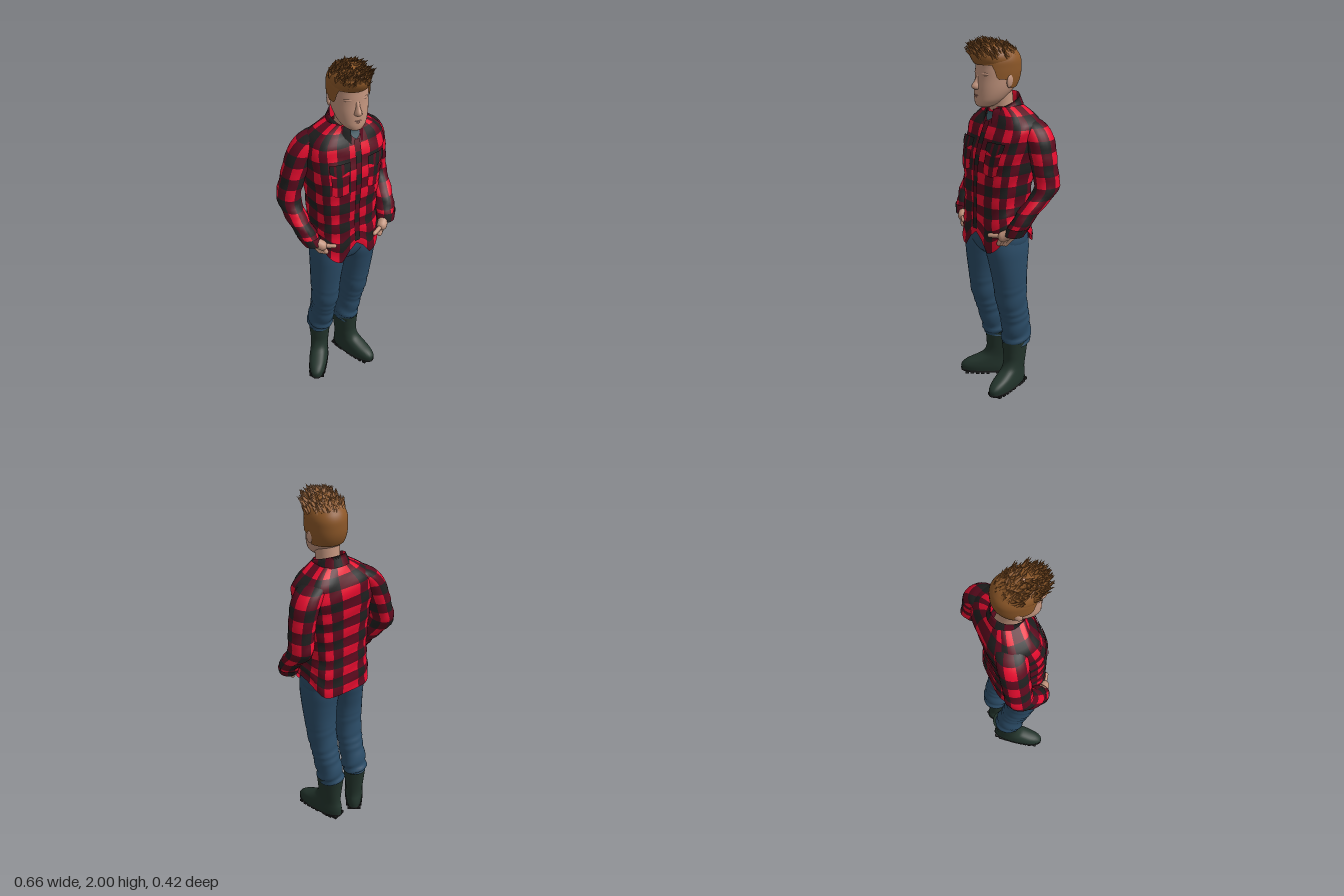
import * as THREE from 'three';
import { mergeGeometries } from 'three/addons/utils/BufferGeometryUtils.js';

const mat = (name, color, side = THREE.FrontSide) =>
  Object.assign(new THREE.MeshStandardMaterial({ color, side }), { name });
const TAU = Math.PI * 2;
const lerp = THREE.MathUtils.lerp;
const smooth = THREE.MathUtils.smoothstep;

// Smooth body through horizontal rings [y, centreX, centreZ, halfWidth, halfDepth], bottom to top.
// Returns a function (angle, y, offset) -> point; angle 0 is the front.
function body(rings, yaw = 0, power = 1) {
  const n = rings.length - 1, c = Math.cos(yaw), s = Math.sin(yaw);
  const slope = (k, i) => {
    const a = rings[Math.max(k - 1, 0)], b = rings[Math.min(k + 1, n)];
    return (b[i] - a[i]) / (b[0] - a[0]);
  };
  const pw = (v) => Math.sign(v) * Math.abs(v) ** power;
  const at = (angle, y, off = 0) => {
    let k = 0;
    while (k < n - 1 && y > rings[k + 1][0]) k++;
    const h = rings[k + 1][0] - rings[k][0];
    const t = THREE.MathUtils.clamp((y - rings[k][0]) / h, 0, 1), t2 = t * t, t3 = t2 * t;
    const [cx, cz, hw, hd] = [1, 2, 3, 4].map((i) =>
      (2 * t3 - 3 * t2 + 1) * rings[k][i] + (t3 - 2 * t2 + t) * h * slope(k, i) +
      (3 * t2 - 2 * t3) * rings[k + 1][i] + (t3 - t2) * h * slope(k + 1, i));
    const x = pw(Math.sin(angle)) * (Math.max(hw, 0.001) + off);
    const z = pw(Math.cos(angle)) * (Math.max(hd, 0.001) + off);
    return new THREE.Vector3(cx + x * c + z * s, y, cz - x * s + z * c);
  };
  at.y0 = rings[0][0];
  at.y1 = rings[n][0];
  return at;
}

// Grid surface from f(u, v); pick(i, j) chooses a material index for each quad
function surface(f, nu, nv, closed = false, pick = null) {
  const pos = [], lists = [[], [], []], w = closed ? nu : nu + 1;
  for (let j = 0; j <= nv; j++) for (let i = 0; i < w; i++) pos.push(...f(i / nu, j / nv).toArray());
  for (let j = 0; j < nv; j++) for (let i = 0; i < nu; i++) {
    const a = j * w + i, b = j * w + (i + 1) % w, d = a + w, e = b + w;
    lists[pick ? pick(i, j) : 0].push(a, b, e, a, e, d);
  }
  const g = new THREE.BufferGeometry();
  g.setAttribute('position', new THREE.Float32BufferAttribute(pos, 3));
  g.setIndex(lists.flat());
  if (pick) lists.reduce((start, l, m) => (g.addGroup(start, l.length, m), start + l.length), 0);
  g.computeVertexNormals();
  return g;
}
const whole = (P, nu, nv) => surface((u, v) => P(u * TAU, lerp(P.y0, P.y1, v)), nu, nv, true);

// Buffalo check: both bands light = red, both dark = black, else dark red
const check = (size, shift = 0) => (i, j) =>
  (Math.floor((i + shift) / size) % 2) + (Math.floor(j / size) % 2);

export function createModel() {
  const D = THREE.DoubleSide;
  const skin = mat('skin', 0xc2947d), lip = mat('lips', 0xac7a6c), hair = mat('hair', 0x8c5728, D);
  const denim = mat('denim', 0x2b4c67, D), boot = mat('boot green', 0x23342c, D);
  const red = mat('bright red', 0xe60c2e, D), wine = mat('dark red', 0x5a0a1d, D);
  const black = mat('black', 0x1f1f1f, D), tee = mat('undershirt', 0x34505a, D);
  const plaid = [red, wine, black];
  const model = new THREE.Group();
  const add = (name, geo, m, parent = model) => {
    const mesh = new THREE.Mesh(geo, m);
    mesh.name = name;
    parent.add(mesh);
    return mesh;
  };
  const blob = (name, m, p, r, parent) => {
    const b = add(name, new THREE.SphereGeometry(1, 20, 14), m, parent);
    b.position.set(...p);
    b.scale.set(...r);
    return b;
  };
  const yaw = 0.225;

  // Shirt body with a curved hem that opens in front
  const torso = body([
    [0.88, 0.015, 0.03, 0.198, 0.15], [1.0, 0.015, 0.03, 0.188, 0.146], [1.12, 0.012, 0.03, 0.18, 0.142],
    [1.25, 0.015, 0.026, 0.19, 0.145], [1.38, 0.022, 0.014, 0.204, 0.15], [1.48, 0.03, -0.005, 0.216, 0.145],
    [1.56, 0.035, -0.015, 0.205, 0.125], [1.61, 0.04, -0.014, 0.145, 0.095], [1.645, 0.04, -0.005, 0.085, 0.08]], yaw, 0.68);
  const hem = (a) => {
    const d = Math.abs(Math.atan2(Math.sin(a), Math.cos(a)));
    if (d < 0.3) return lerp(0.97, 0.87, d / 0.3);
    return d < 1.5 ? lerp(0.87, 0.99, smooth(d, 0.3, 1.5)) : lerp(0.99, 0.89, smooth(d, 1.5, 2.6));
  };
  add('shirtBody', surface((u, v) => {
    const y = lerp(0.88, 1.645, v);
    const p = torso(u * TAU, y, 0.003 * Math.sin(y * 55 + Math.sin(u * TAU * 3) * 2));
    if (y < 1.1) p.y = lerp(hem(u * TAU), 1.1, (y - 0.88) / 0.22);
    return p;
  }, 60, 38, true, check(3, 1)), plaid);

  // Front placket, pockets and pointed flaps lying on the shirt
  const patch = (a0, a1, lo, hi, off) => (u, v) => torso(lerp(a0, a1, u), lerp(lo(u), hi, v), off);
  add('placket', surface(patch(-0.025, 0.025, () => 0.99, 1.57, 0.008), 4, 30, false,
    (i, j) => (j % 6 < 3 ? 2 : 1)), plaid);
  for (const s of [-1, 1]) {
    const a = s * 0.4;
    add('chestPocket', surface(patch(a - 0.25, a + 0.25, (u) => 1.31 - 0.015 * Math.sin(u * Math.PI), 1.46, 0.007),
      9, 9, false, check(3)), plaid);
    add('pocketFlap', surface(patch(a - 0.28, a + 0.28,
      (u) => 1.435 - 0.03 * (1 - Math.abs(u * 2 - 1)), 1.475, 0.011), 8, 4, false,
    (i) => (i === 2 || i === 5 ? 1 : 2)), plaid);
  }
  add('undershirt', surface((u, v) => torso(lerp(-0.12, 0.12, u) * v, lerp(1.57, 1.615, v), 0.009), 6, 6), tee);

  // Collar: stand folding over into a pointed fall
  add('collar', surface((u, v) => {
    const a = lerp(0.3, TAU - 0.3, u), front = Math.cos(a), up = Math.min(v * 2, 1), fall = Math.max(v * 2 - 1, 0);
    const r = 0.078 + 0.022 * fall, point = Math.max(front, 0) ** 3 * 0.035;
    const x = Math.sin(a) * r, z = front * (r + 0.012);
    return new THREE.Vector3(0.04 + x * Math.cos(yaw) + z * Math.sin(yaw),
      1.58 + 0.085 * up - fall * (0.055 + point) - 0.035 * front, 0.008 - x * Math.sin(yaw) + z * Math.cos(yaw));
  }, 36, 6, false, check(3)), plaid);

  // Sleeves with cuffs
  const sleeves = {
    left: [[1.0, 0.262, 0.055, 0.045, 0.045], [1.05, 0.27, 0.03, 0.052, 0.054], [1.12, 0.272, -0.025, 0.055, 0.066],
      [1.23, 0.268, -0.127, 0.06, 0.074], [1.33, 0.258, -0.122, 0.062, 0.075], [1.43, 0.241, -0.114, 0.067, 0.08],
      [1.51, 0.213, -0.102, 0.073, 0.082], [1.57, 0.165, -0.08, 0.066, 0.068], [1.61, 0.11, -0.045, 0.02, 0.02]],
    right: [[1.0, -0.185, 0.135, 0.045, 0.04], [1.05, -0.208, 0.112, 0.053, 0.053], [1.12, -0.24, 0.07, 0.057, 0.063],
      [1.23, -0.268, 0.0, 0.062, 0.073], [1.33, -0.245, -0.01, 0.064, 0.075], [1.43, -0.211, -0.016, 0.069, 0.078],
      [1.51, -0.17, -0.02, 0.074, 0.08], [1.57, -0.11, -0.02, 0.066, 0.07], [1.61, -0.04, -0.01, 0.02, 0.02]],
  };
  for (const side in sleeves) {
    const P = body(sleeves[side], side === 'left' ? 0.3 : 0.1);
    const fold = (u, v) => P(u * TAU, lerp(P.y0, P.y1, v), 0.004 * Math.sin(v * 48 + Math.sin(u * TAU) * 3) * (1 - v));
    add(side + 'Sleeve', surface(fold, 24, 30, true, check(3, side === 'left' ? 0 : 3)), plaid);
    add(side + 'Cuff', surface((u, v) => P(u * TAU, lerp(1.0, 1.045, v), 0.006), 24, 3, true,
      (i) => (i % 6 < 3 ? 1 : 2)), plaid);
  }

  // Hands tucked into the front pockets: wrist, thumb and finger bases
  const limb = (name, a, b, r, parent) => {
    const A = new THREE.Vector3(...a), B = new THREE.Vector3(...b), d = B.clone().sub(A);
    const m = add(name, new THREE.CapsuleGeometry(r, d.length(), 5, 12), skin, parent);
    m.position.copy(A).add(B).multiplyScalar(0.5);
    m.quaternion.setFromUnitVectors(new THREE.Vector3(0, 1, 0), d.normalize());
  };
  const hands = { right: [[-0.19, 1.02, 0.132], [-0.145, 0.995, 0.162], [-0.085, 0.992, 0.187]],
    left: [[0.262, 1.02, 0.05], [0.225, 0.988, 0.1], [0.162, 0.982, 0.148]] };
  for (const side in hands) {
    const [w, p, t] = hands[side], g = new THREE.Group();
    g.name = side + 'Hand';
    model.add(g);
    limb('wrist', w, p, 0.028, g);
    limb('thumb', p, t, 0.012, g);
    for (let i = 0; i < 4; i++) {
      const k = i / 3, x = lerp(p[0], w[0], k * 0.8), z = lerp(p[2], w[2], k * 0.8);
      limb('finger', [x, p[1], z], [lerp(x, t[0], 0.3), p[1] - 0.042, lerp(z, t[2], 0.3)], 0.014, g);
    }
  }

  // Jeans: seat and two creased legs
  add('jeansSeat', whole(body([[0.815, 0.012, 0.03, 0.04, 0.05], [0.84, 0.012, 0.03, 0.12, 0.09],
    [0.9, 0.013, 0.028, 0.18, 0.125], [0.97, 0.014, 0.028, 0.182, 0.136], [1.06, 0.014, 0.03, 0.168, 0.128]],
    yaw, 0.84), 40, 16), denim);
  const legs = {
    right: [[0.26, -0.1, -0.028, 0.062, 0.072], [0.3, -0.1, -0.022, 0.072, 0.08], [0.42, -0.094, 0.01, 0.07, 0.083],
      [0.55, -0.09, 0.045, 0.077, 0.088], [0.7, -0.088, 0.055, 0.085, 0.098], [0.8, -0.08, 0.052, 0.093, 0.114],
      [0.88, -0.073, 0.046, 0.099, 0.126], [1.0, -0.07, 0.044, 0.085, 0.12]],
    left: [[0.26, 0.07, -0.058, 0.062, 0.074], [0.3, 0.072, -0.06, 0.072, 0.084], [0.42, 0.088, -0.045, 0.071, 0.085],
      [0.55, 0.1, -0.015, 0.077, 0.09], [0.7, 0.106, 0.002, 0.086, 0.1], [0.8, 0.105, 0.01, 0.093, 0.114],
      [0.88, 0.1, 0.014, 0.099, 0.126], [1.0, 0.098, 0.015, 0.085, 0.12]],
  };
  for (const side in legs) {
    const P = body(legs[side], side === 'left' ? 0.2 : -0.1, 0.93);
    add(side + 'JeansLeg', surface((u, v) => P(u * TAU, lerp(P.y0, P.y1, v),
      (0.002 + 0.005 * (1 - smooth(v, 0, 0.22))) * (1 - smooth(v, 0.4, 0.6)) *
      Math.sin(v * 75 + Math.sin(u * TAU + 1) * 3.5 + Math.sin(v * 23) * 2)), 28, 64, true), denim);
  }

  // Rubber boots with black treaded soles
  for (const [side, x, z, turn] of [['right', -0.1, -0.03, -0.45], ['left', 0.074, -0.046, 0.47]]) {
    const g = new THREE.Group();
    g.name = side + 'Boot';
    g.position.set(x, 0, z);
    g.rotation.y = turn;
    model.add(g);
    add('bootUpper', whole(body([[0.015, 0, 0.065, 0.05, 0.15], [0.045, 0, 0.065, 0.054, 0.152], [0.072, 0, 0.052, 0.053, 0.136],
      [0.095, 0, 0.03, 0.051, 0.108], [0.12, 0, 0.008, 0.05, 0.084], [0.16, 0, -0.005, 0.053, 0.073],
      [0.21, 0, -0.008, 0.058, 0.075], [0.285, 0, -0.01, 0.066, 0.083]], 0, 0.88), 36, 36), boot, g);
    const P = body([[0, 0, 0.065, 0.053, 0.153], [0.03, 0, 0.065, 0.056, 0.155]], 0, 0.86);
    add('soleEdge', surface((u, v) => P(u * TAU, lerp(0.01, 0.022, v)), 36, 2, true), black, g);
    add('soleBase', surface((u, v) => {
      const p = P(u * TAU, 0.01);
      p.x *= 1 - v;
      p.z = lerp(p.z, 0.065, v);
      return p;
    }, 36, 3, true), black, g);
    const bars = [];
    for (let k = 0; k < 9; k++) {
      if (k === 3) continue;
      const bz = -0.065 + k * 0.031;
      const w = 0.1 * Math.sqrt(Math.max(0.1, 1 - ((bz - 0.065) / 0.165) ** 4));
      bars.push(new THREE.BoxGeometry(w, 0.014, k < 3 ? 0.03 : 0.02).translate(0, 0.007, bz));
    }
    add('soleTreads', mergeGeometries(bars), black, g);
  }

  // Head and neck
  add('neck', whole(body([[1.54, 0.04, 0, 0.07, 0.068], [1.63, 0.042, 0.018, 0.062, 0.065],
    [1.74, 0.042, 0.035, 0.066, 0.07]]), 28, 10), skin);
  const head = new THREE.Group();
  head.name = 'head';
  head.position.x = 0.04;
  head.rotation.y = 0.05;
  model.add(head);
  const skull = body([[1.638, 0, 0.11, 0.012, 0.02], [1.648, 0, 0.108, 0.036, 0.05], [1.67, 0, 0.096, 0.062, 0.07],
    [1.7, 0, 0.078, 0.078, 0.088], [1.74, 0, 0.058, 0.089, 0.106], [1.79, 0, 0.044, 0.094, 0.115],
    [1.84, 0, 0.04, 0.095, 0.116], [1.89, 0, 0.04, 0.09, 0.11], [1.93, 0, 0.04, 0.06, 0.075], [1.945, 0, 0.04, 0.01, 0.01]], 0, 0.94);
  add('face', whole(skull, 40, 44), skin, head);
  add('nose', whole(body([[1.73, 0, 0.14, 0.012, 0.02], [1.738, 0, 0.147, 0.021, 0.036], [1.752, 0, 0.148, 0.02, 0.043],
    [1.775, 0, 0.144, 0.014, 0.031], [1.815, 0, 0.14, 0.014, 0.014]]), 20, 16), skin, head);
  blob('upperLip', lip, [0, 1.704, 0.157], [0.026, 0.005, 0.012], head);
  blob('lowerLip', lip, [0, 1.695, 0.156], [0.022, 0.005, 0.012], head);
  blob('chin', skin, [0, 1.664, 0.143], [0.028, 0.018, 0.021], head);
  for (const s of [-1, 1]) {
    blob('brow', skin, [s * 0.036, 1.814, 0.136], [0.03, 0.012, 0.015], head).rotation.y = s * 0.35;
    blob('eye', black, [s * 0.035, 1.791, 0.143], [0.01, 0.002, 0.006], head).rotation.y = s * 0.3;
    const ear = blob('ear', skin, [s * 0.097, 1.778, 0.025], [0.01, 0.034, 0.021], head);
    ear.rotation.set(-0.15, s * 0.35, 0);
  }

  // Short hair around the sides and back, following the hairline
  add('sideHair', surface((u, v) => {
    const f = Math.cos(u * TAU);
    const low = f > 0.1 ? lerp(1.79, 1.862, smooth(f, 0.35, 0.65)) : lerp(1.74, 1.79, smooth(f, -0.35, 0.1));
    return skull(u * TAU, lerp(low, 1.92, v), 0.008);
  }, 56, 14, true), hair, head);
  const top = body([[1.86, 0, 0.046, 0.098, 0.12], [1.89, 0, 0.055, 0.1, 0.13], [1.915, 0, 0.064, 0.092, 0.126],
    [1.938, 0, 0.07, 0.072, 0.106], [1.955, 0, 0.074, 0.045, 0.072], [1.962, 0, 0.076, 0.005, 0.005]]);
  add('topHair', whole(top, 36, 18), hair, head);

  // Tousled tufts swept forward and up, tallest above the middle of the forehead
  let seed = 7;
  const rnd = () => (seed = (seed * 16807) % 2147483647) / 2147483647;
  const tufts = [], UP = new THREE.Vector3(0, 1, 0);
  for (let i = 0; i < 260; i++) {
    const a = rnd() * TAU, front = Math.cos(a);
    const root = top(a, 1.88 + 0.08 * Math.sqrt(rnd()), -0.008);
    const dir = new THREE.Vector3(Math.sin(a) * 0.25 + (rnd() - 0.5) * 0.5,
      0.45 + front * 0.15 + rnd() * 0.35, 0.5 + front * 0.1 + (rnd() - 0.5) * 0.5).normalize();
    const limit = 2.0 - 0.06 * (root.x / 0.1) ** 2 - 0.05 * ((root.z - 0.08) / 0.14) ** 2 - rnd() * 0.015;
    const len = Math.max(0.018, Math.min(0.045 + rnd() * 0.035, (limit - root.y) / dir.y,
      (0.212 - root.z) / Math.max(dir.z, 0.05)));
    const g = new THREE.ConeGeometry(0.009 + rnd() * 0.006, len, 6, 1).translate(0, len / 2, 0).scale(1, 1, 0.6);
    g.applyQuaternion(new THREE.Quaternion().setFromUnitVectors(UP, dir));
    tufts.push(g.translate(root.x, root.y, root.z));
  }
  add('hairTufts', mergeGeometries(tufts), hair, head);
  return model;
}
